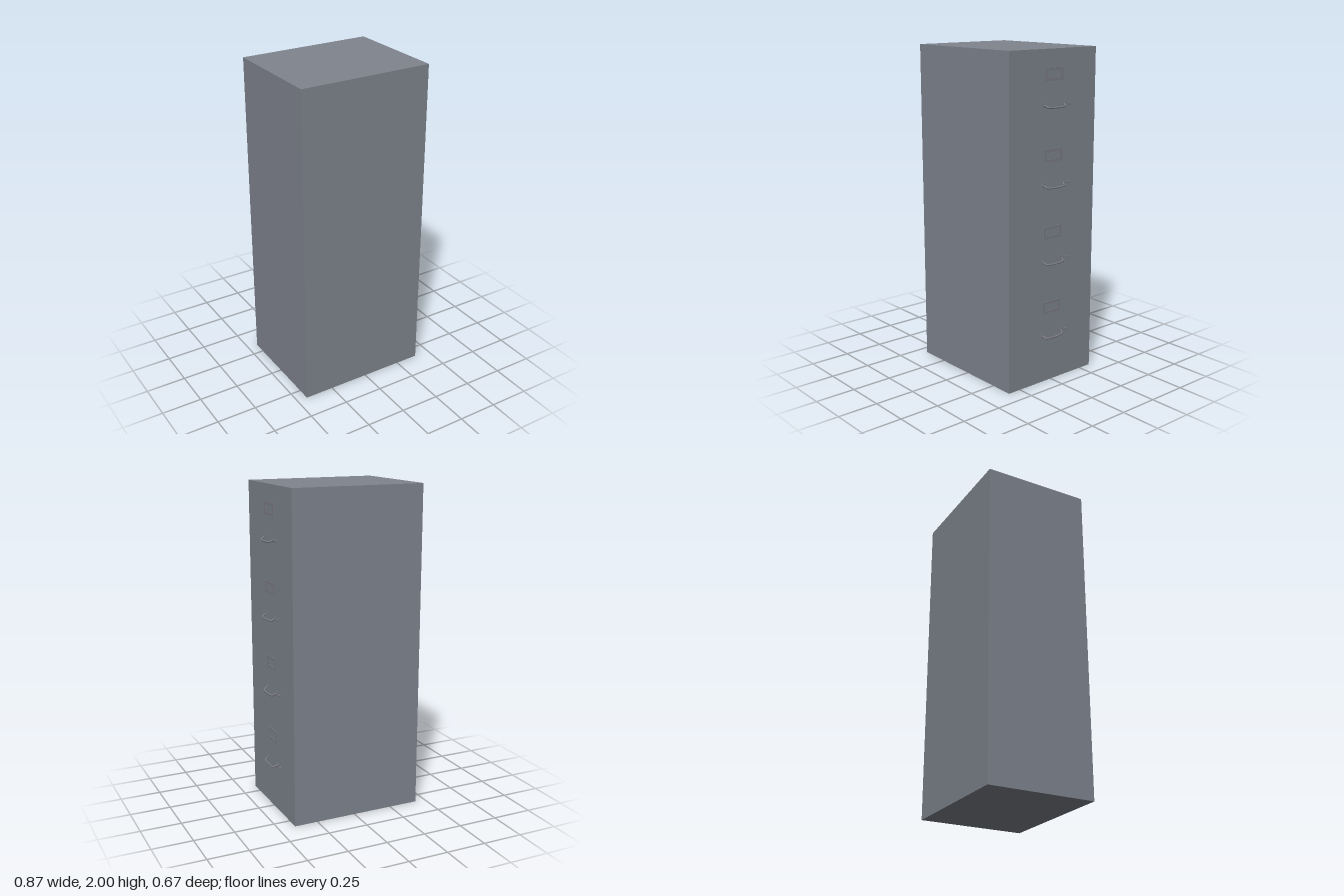
import * as THREE from 'three';

const FACE = 0.397; // x of the drawer side

export function createModel() {
  const group = new THREE.Group();
  const paint = new THREE.MeshStandardMaterial({ color: 0x7f848e });
  paint.name = 'grey paint';
  const steel = new THREE.MeshStandardMaterial({ color: 0x7b7d84 });
  steel.name = 'steel';

  const add = (parent, name, geometry, material, x = 0, y = 0, z = 0) => {
    const mesh = new THREE.Mesh(geometry, material);
    mesh.name = name;
    mesh.position.set(x, y, z);
    parent.add(mesh);
    return mesh;
  };

  // Cabinet body
  add(group, 'cabinetBody', new THREE.BoxGeometry(0.831, 2, 0.668), paint, -0.0185, 1, 0);

  // Rectangular frame facing +x
  const frameGeometry = (w, h, border, depth) => {
    const rect = (target, a, b) => target.moveTo(-a, -b).lineTo(a, -b).lineTo(a, b).lineTo(-a, b).closePath();
    const shape = rect(new THREE.Shape(), w / 2, h / 2);
    shape.holes.push(rect(new THREE.Path(), w / 2 - border, h / 2 - border));
    return new THREE.ExtrudeGeometry(shape, { depth, bevelEnabled: false }).rotateY(Math.PI / 2);
  };
  const outerFrame = frameGeometry(0.14, 0.075, 0.014, 0.004);
  const innerLip = frameGeometry(0.114, 0.049, 0.004, 0.002);

  // Pull bar: out from the pads, sloping down and bowed
  const points = [
    [0.002, 0.004, -0.083], [0.012, 0, -0.073], [0.026, -0.008, -0.067], [0.030, -0.010, -0.052],
    [0.031, -0.012, 0], [0.030, -0.010, 0.052], [0.026, -0.008, 0.067], [0.012, 0, 0.073], [0.002, 0.004, 0.083],
  ].map((p) => new THREE.Vector3(...p));
  const bar = new THREE.TubeGeometry(new THREE.CatmullRomCurve3(points), 48, 0.0055, 8);
  const pad = new THREE.BoxGeometry(0.006, 0.026, 0.024);
  const latchPlate = new THREE.BoxGeometry(0.005, 0.016, 0.03);
  const latchButton = new THREE.CylinderGeometry(0.006, 0.006, 0.01, 12).rotateZ(Math.PI / 2);

  // Hardware for each of the four drawers
  [[0.47, 0.295], [0.932, 0.756], [1.392, 1.217], [1.857, 1.682]].forEach(([labelY, handleY], i) => {
    const drawer = new THREE.Group();
    drawer.name = 'drawerHardware' + (i + 1);
    group.add(drawer);
    add(drawer, 'labelFrame', outerFrame, steel, FACE, labelY, 0);
    add(drawer, 'labelLip', innerLip, steel, FACE, labelY, 0);
    add(drawer, 'handleBar', bar, steel, FACE, handleY, 0);
    for (const side of [-1, 1]) {
      add(drawer, 'handlePad', pad, steel, FACE + 0.003, handleY + 0.002, side * 0.077);
    }
    add(drawer, 'latchPlate', latchPlate, steel, FACE + 0.0025, handleY, -0.119);
    add(drawer, 'latchButton', latchButton, steel, FACE + 0.004, handleY, -0.119);
  });

  return group;
}
